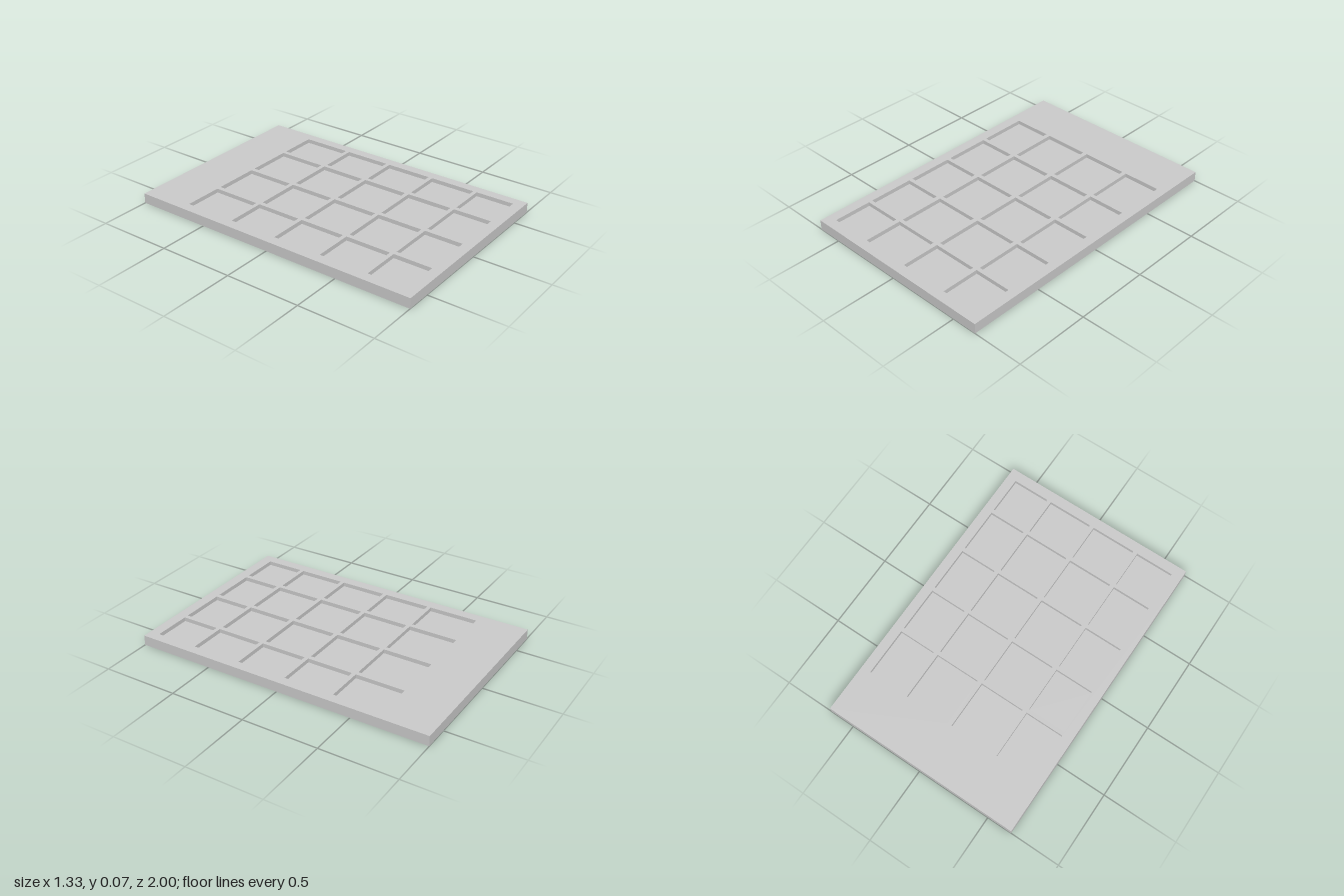
import * as THREE from 'three';

const HALF_W = 0.667, HALF_L = 1, THICK = 0.067;
const PANE_T = 0.013;

// start and end of each opening, across (x) and along (z)
const COLUMNS = [[-0.6, -0.342], [-0.312, -0.01], [0.02, 0.323], [0.352, 0.603]];
const ROWS = [[-0.675, -0.35], [-0.323, -0.017], [0.01, 0.317], [0.344, 0.65], [0.676, 0.932]];

function rectangle(path, x0, x1, y0, y1) {
  path.moveTo(x0, y0);
  path.lineTo(x1, y0);
  path.lineTo(x1, y1);
  path.lineTo(x0, y1);
  path.closePath();
  return path;
}

export function createModel() {
  const group = new THREE.Group();
  group.name = 'panelledBoard';
  const material = new THREE.MeshStandardMaterial({ color: 0xcccccc });

  const outline = rectangle(new THREE.Shape(), -HALF_W, HALF_W, -HALF_L, HALF_L);
  const panes = new THREE.Group();
  panes.name = 'recessedPanes';

  for (const [z0, z1] of ROWS) {
    for (const [x0, x1] of COLUMNS) {
      // opening through the frame (shape y becomes -z)
      outline.holes.push(rectangle(new THREE.Path(), x0, x1, -z1, -z0));

      // thin pane held midway in the opening, recessed on both sides
      const pane = new THREE.Mesh(new THREE.BoxGeometry(x1 - x0, PANE_T, z1 - z0), material);
      pane.name = 'pane';
      pane.position.set((x0 + x1) / 2, THICK / 2, (z0 + z1) / 2);
      panes.add(pane);
    }
  }

  // flat frame with its grid of bars
  const frameGeometry = new THREE.ExtrudeGeometry(outline, { depth: THICK, bevelEnabled: false });
  frameGeometry.rotateX(-Math.PI / 2);
  const frame = new THREE.Mesh(frameGeometry, material);
  frame.name = 'frame';

  group.add(frame, panes);
  return group;
}
